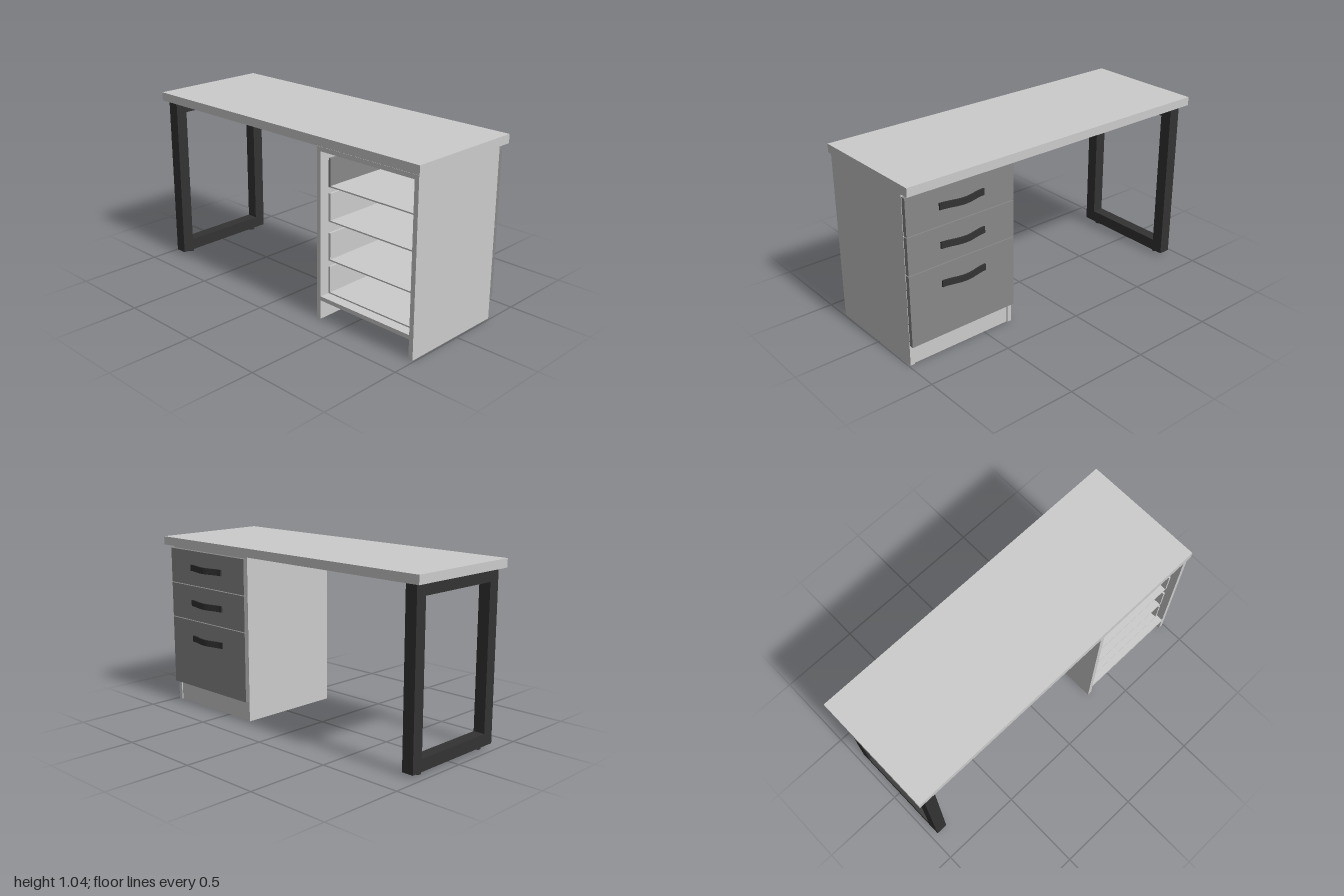
import * as THREE from 'three';

const board = new THREE.MeshStandardMaterial({ color: 0xcccccc });
const slate = new THREE.MeshStandardMaterial({ color: 0x888888 });
const black = new THREE.MeshStandardMaterial({ color: 0x333333 });

// box given by its extents along each axis
function box(parent, name, [x0, x1], [y0, y1], [z0, z1], material = board) {
  const mesh = new THREE.Mesh(new THREE.BoxGeometry(x1 - x0, y1 - y0, z1 - z0), material);
  mesh.position.set((x0 + x1) / 2, (y0 + y1) / 2, (z0 + z1) / 2);
  mesh.name = name;
  parent.add(mesh);
  return mesh;
}

function group(parent, name) {
  const g = new THREE.Group();
  g.name = name;
  parent.add(g);
  return g;
}

// bowed strip handle: an arched band swept over its height
function handleGeometry(width, height, depth, thick) {
  const steps = 20, outer = [], inner = [];
  for (let i = 0; i <= steps; i++) {
    const t = i / steps;
    const rise = (depth - thick) * (0.5 - 0.5 * Math.cos(2 * Math.PI * t));
    const x = (t - 0.5) * width;
    outer.push(new THREE.Vector2(x, rise + thick));
    inner.unshift(new THREE.Vector2(x, rise));
  }
  const geo = new THREE.ExtrudeGeometry(new THREE.Shape([...outer, ...inner]), {
    depth: height, bevelEnabled: false,
  });
  geo.translate(0, 0, -height / 2);
  geo.rotateX(-Math.PI / 2); // bulge towards -z, height along y
  return geo;
}

export function createModel() {
  const desk = new THREE.Group();
  desk.name = 'desk';

  box(desk, 'deskTop', [-1, 1], [0.995, 1.045], [-0.365, 0.365]);

  // rectangular loop leg of square tube
  const leg = group(desk, 'legFrame');
  const z0 = -0.33, z1 = 0.345, y0 = 0.02, y1 = 0.995, w = 0.07;
  const outline = new THREE.Shape([
    new THREE.Vector2(z0, y0), new THREE.Vector2(z1, y0),
    new THREE.Vector2(z1, y1), new THREE.Vector2(z0, y1),
  ]);
  outline.holes.push(new THREE.Path([
    new THREE.Vector2(z0 + w, y0 + w), new THREE.Vector2(z0 + w, y1 - w),
    new THREE.Vector2(z1 - w, y1 - w), new THREE.Vector2(z1 - w, y0 + w),
  ]));
  const loopGeo = new THREE.ExtrudeGeometry(outline, { depth: w, bevelEnabled: false });
  loopGeo.rotateY(-Math.PI / 2); // profile into the zy plane
  const loop = new THREE.Mesh(loopGeo, black);
  loop.position.x = -0.89;
  loop.name = 'legLoop';
  leg.add(loop);
  for (const z of [-0.25, 0.265]) {
    const foot = new THREE.Mesh(new THREE.CylinderGeometry(0.018, 0.018, 0.02, 20), black);
    foot.position.set(-0.925, 0.01, z);
    foot.name = 'foot';
    leg.add(foot);
  }

  // cabinet carcass, open at the front
  const cabinet = group(desk, 'cabinet');
  const depth = [-0.297, 0.355], inside = [0.337, 0.963];
  box(cabinet, 'sidePanelRight', [0.31, 0.337], [0, 0.99], depth);
  box(cabinet, 'sidePanelLeft', [0.963, 0.99], [0, 0.99], depth);
  box(cabinet, 'topPanel', inside, [0.965, 0.99], depth);
  box(cabinet, 'bottomPanel', inside, [0.112, 0.136], depth);
  box(cabinet, 'plinth', inside, [0, 0.112], [-0.29, -0.263]);

  // drawer trays
  [0.765, 0.57, 0.345, 0.15].forEach((y, i) => {
    const tray = group(cabinet, 'drawerTray');
    const span = [-0.297, 0.315], sideMaterial = i === 0 ? slate : board;
    box(tray, 'trayBottom', [0.37, 0.94], [y, y + 0.008], span);
    box(tray, 'traySideRight', [0.357, 0.37], [y, y + 0.16], span, sideMaterial);
    box(tray, 'traySideLeft', [0.94, 0.953], [y, y + 0.16], span, sideMaterial);
  });

  // drawer fronts and handles on the back face
  const handleGeo = handleGeometry(0.28, 0.037, 0.032, 0.009);
  const fronts = [[0.762, 0.972, 0.87], [0.545, 0.757, 0.653], [0.122, 0.54, 0.431]];
  for (const [low, high, handleY] of fronts) {
    const drawer = group(cabinet, 'drawer');
    box(drawer, 'drawerFront', [0.312, 0.988], [low, high], [-0.323, -0.298], slate);
    const handle = new THREE.Mesh(handleGeo, black);
    handle.position.set(0.65, handleY, -0.323);
    handle.name = 'handle';
    drawer.add(handle);
  }

  return desk;
}
